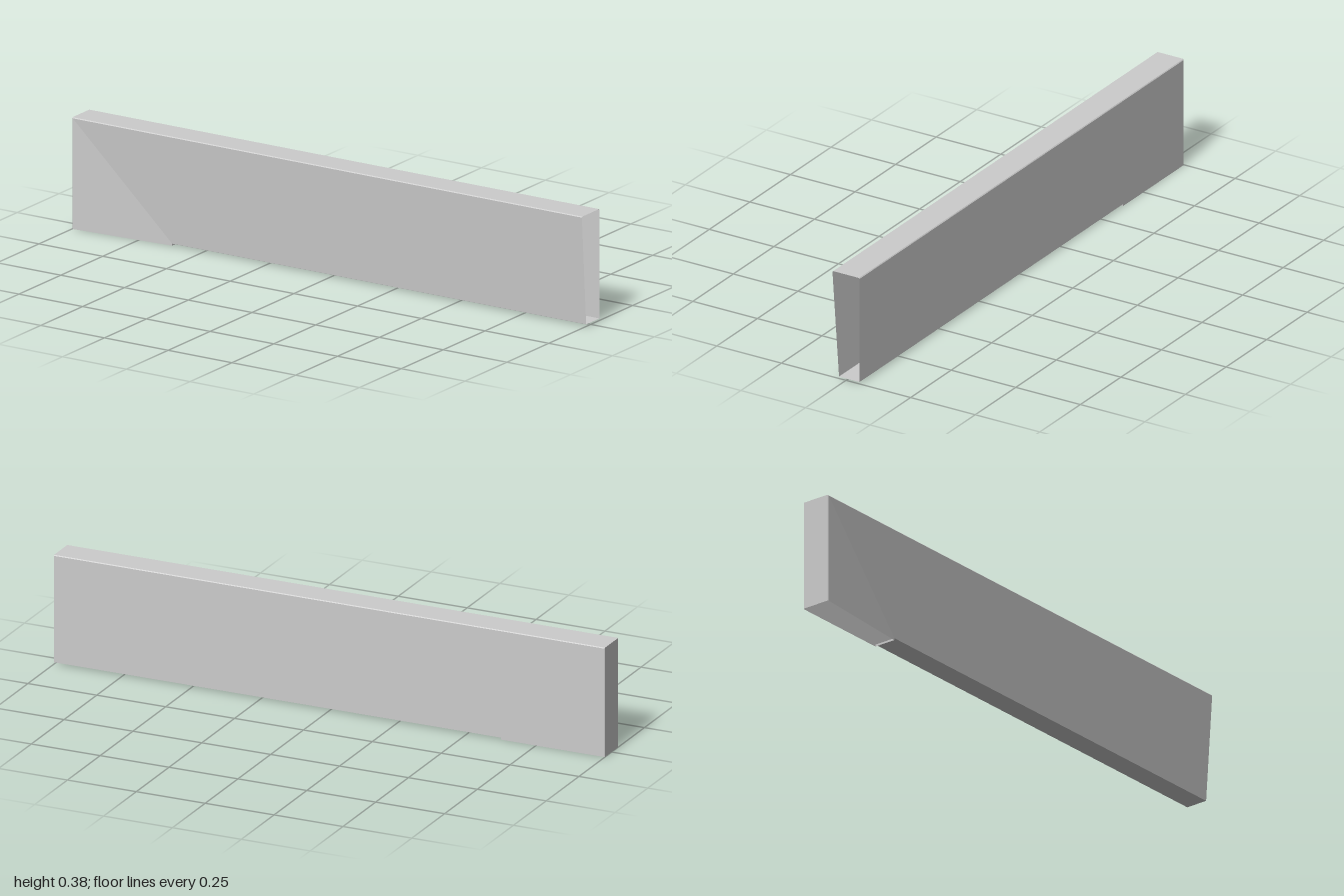
import * as THREE from 'three';

const HEIGHT = 0.383;
const LEFT = -1;

// Closed cross-section: [distance from the outer wall, z]
const SECTION = [
  [0, -0.05], [0, 0.05], [0.003, 0.0525],
  [0.376, 0.027], [0.376, -0.0525], [0.003, -0.0525],
];

// Stations along the duct: open side end, mitre at the corner, open lower end
const sideEnd = ([d, z]) => [1, HEIGHT - d, z];
const mitre = ([d, z]) => [LEFT + d, HEIGHT - d, z];
const lowerEnd = ([d, z]) => [LEFT + d, 0, z];

// Walls joining two stations, without end caps
function ductArm(name, from, to, material) {
  const positions = [];
  SECTION.forEach((p, i) => {
    const q = SECTION[(i + 1) % SECTION.length];
    const [a, b, c, d] = [from(p), from(q), to(q), to(p)];
    positions.push(...a, ...d, ...c, ...a, ...c, ...b);
  });
  const geometry = new THREE.BufferGeometry();
  geometry.setAttribute('position', new THREE.Float32BufferAttribute(positions, 3));
  geometry.computeVertexNormals();
  const mesh = new THREE.Mesh(geometry, material);
  mesh.name = name;
  return mesh;
}

export function createModel() {
  const group = new THREE.Group();
  group.name = 'mitredDuct';
  const material = new THREE.MeshStandardMaterial({
    color: 0xcccccc, flatShading: true, side: THREE.DoubleSide,
  });
  group.add(
    ductArm('horizontalArm', sideEnd, mitre, material),
    ductArm('downwardArm', mitre, lowerEnd, material),
  );
  return group;
}
